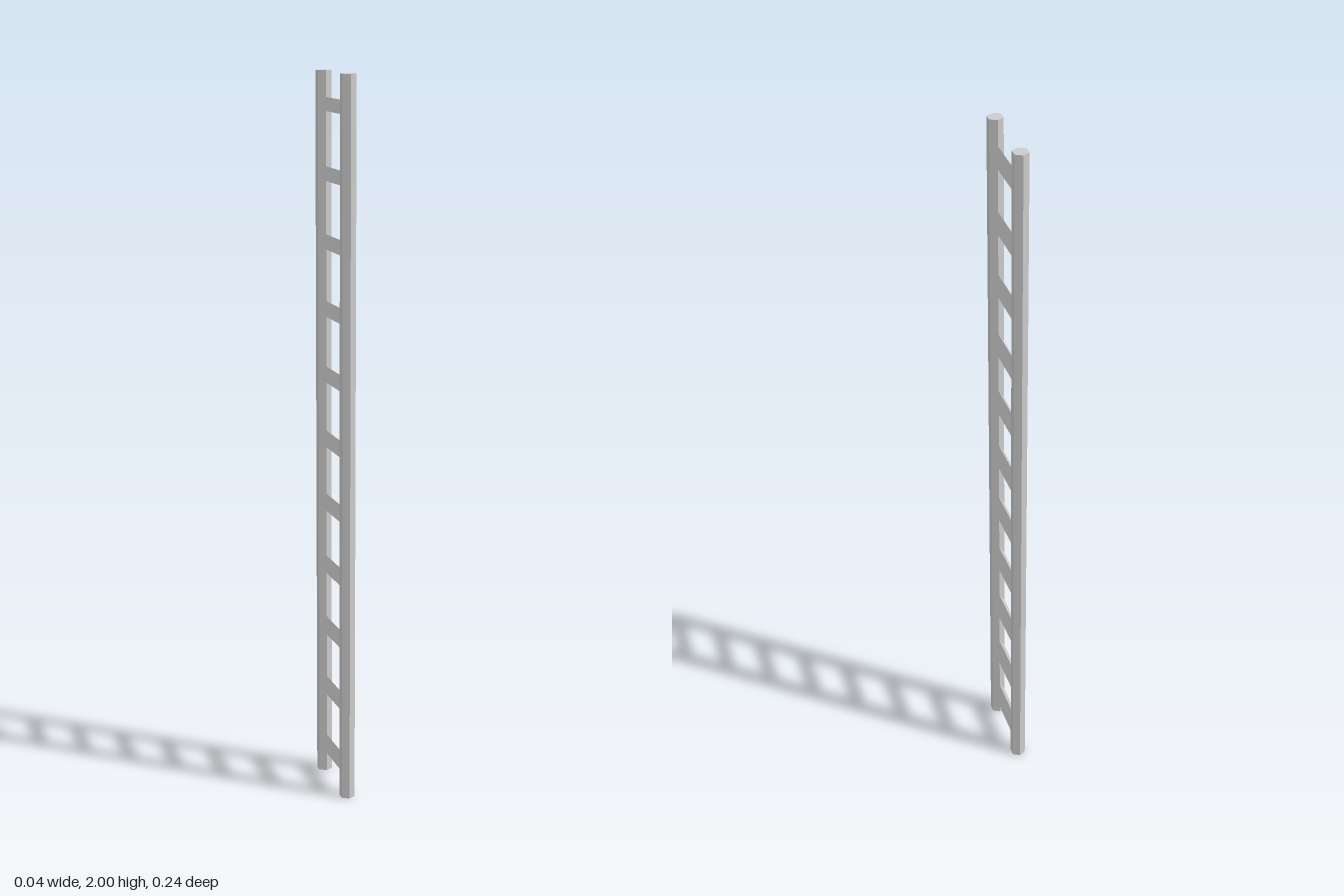
import * as THREE from 'three';

const HEIGHT = 2, RADIUS = 0.0217, RAIL_Z = 0.0983, RUNGS = 11;

export function createModel() {
  const ladder = new THREE.Group();
  ladder.name = 'ladder';
  const material = new THREE.MeshStandardMaterial({ color: 0xcccccc, flatShading: true });

  const add = (name, geometry, y, z) => {
    const mesh = new THREE.Mesh(geometry, material);
    mesh.name = name;
    mesh.position.set(0, y, z);
    ladder.add(mesh);
  };

  // Two upright hexagonal rails, corners pointing along z
  const railGeometry = new THREE.CylinderGeometry(RADIUS, RADIUS, HEIGHT, 6);
  add('frontRail', railGeometry, HEIGHT / 2, RAIL_Z);
  add('backRail', railGeometry, HEIGHT / 2, -RAIL_Z);

  // Evenly spaced triangular rungs, ridge up and flat side down
  const rungGeometry = new THREE.CylinderGeometry(RADIUS, RADIUS, RAIL_Z * 2, 3);
  rungGeometry.rotateX(-Math.PI / 2);
  const spacing = HEIGHT / RUNGS;
  for (let i = 0; i < RUNGS; i++) {
    add(`rung${i + 1}`, rungGeometry, (i + 0.5) * spacing, 0);
  }

  return ladder;
}
